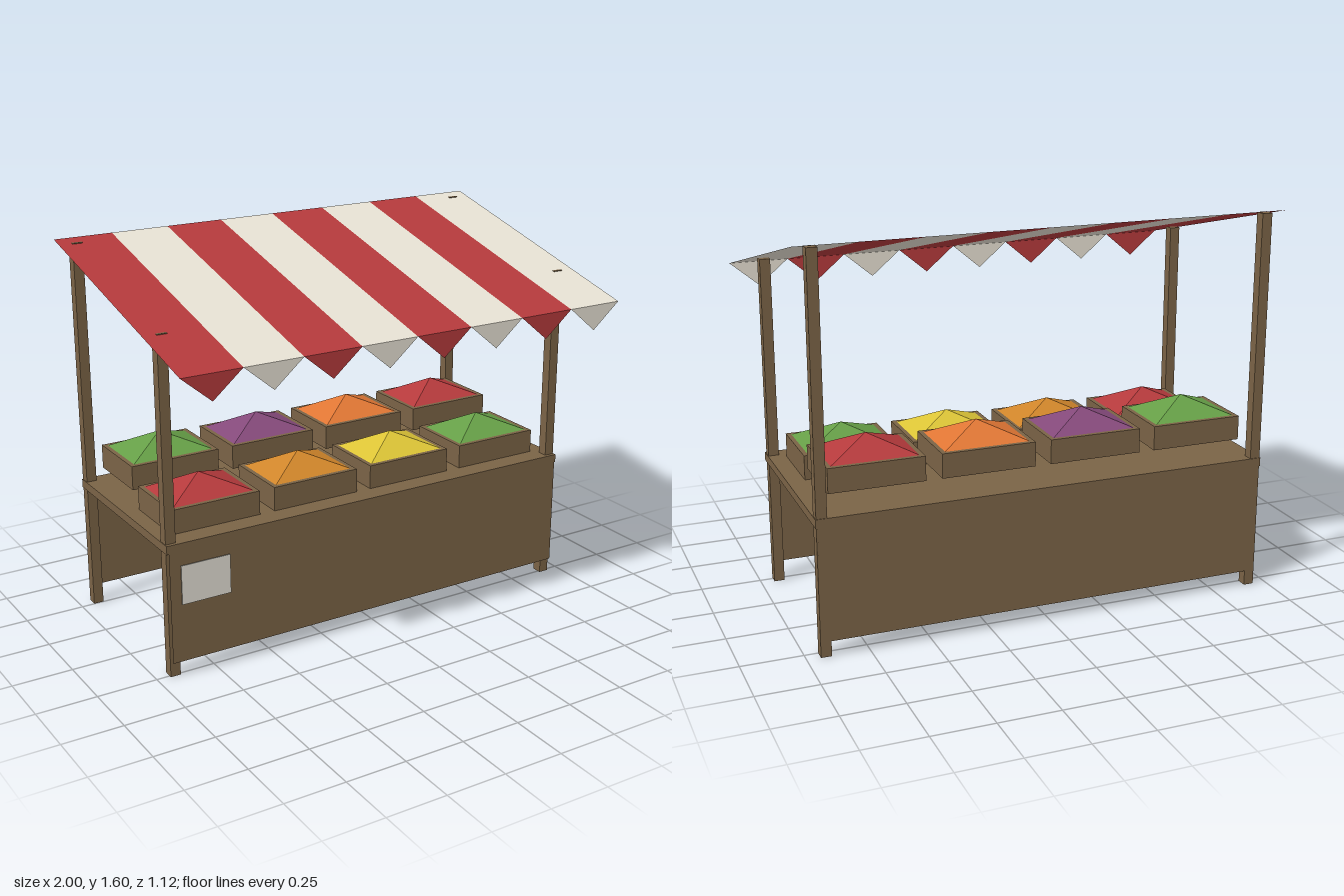
import * as THREE from 'three';
import { RoundedBoxGeometry } from 'three/addons/geometries/RoundedBoxGeometry.js';

const mat = (name, color, side = THREE.FrontSide) => {
  const m = new THREE.MeshStandardMaterial({ color, side });
  m.name = name;
  return m;
};

export function createModel() {
  const model = new THREE.Group();
  model.name = 'marketStall';

  const wood = mat('wood', 0x7a6346, THREE.DoubleSide);
  const red = mat('red', 0xb53a3c, THREE.DoubleSide);
  const cream = mat('cream', 0xeee8da, THREE.DoubleSide);
  const green = mat('green', 0x669f47);
  const purple = mat('purple', 0x84497a);
  const orange = mat('orange', 0xe07634);
  const amber = mat('amber', 0xd0852a);
  const yellow = mat('yellow', 0xdcc436);
  const steel = mat('steel', 0x82868a);
  const slate = mat('paleBoard', 0xe4e0d6);

  const add = (name, geometry, material, x, y, z, parent = model) => {
    const mesh = new THREE.Mesh(geometry, material);
    mesh.name = name;
    mesh.position.set(x, y, z);
    parent.add(mesh);
    return mesh;
  };
  const box = (w, h, d) => new THREE.BoxGeometry(w, h, d);

  // Four posts, taller at the back
  for (const side of [-1, 1]) {
    add('frontPost', box(0.043, 1.398, 0.043), wood, side * 0.923, 0.699, 0.24);
    add('backPost', box(0.043, 1.589, 0.043), wood, side * 0.923, 0.7945, -0.523);
  }

  // Counter top with thin boards at the front and back
  add('counterTop', box(1.895, 0.036, 0.824), wood, 0, 0.548, -0.135);
  add('frontPanel', new THREE.PlaneGeometry(1.88, 0.5), wood, 0, 0.315, 0.279);
  add('backPanel', new THREE.PlaneGeometry(1.88, 0.5), wood, 0, 0.315, -0.549).rotation.y = Math.PI;

  // Price board on the front
  add('priceBoard', box(0.212, 0.164, 0.004), slate, -0.791, 0.397, 0.291);

  // Sloping striped canopy with a pointed valance
  const canopy = new THREE.Group();
  canopy.name = 'canopy';
  model.add(canopy);
  const rise = 0.28, depth = 1.12, stripe = 0.25;
  const strip = new THREE.PlaneGeometry(stripe, Math.hypot(rise, depth));
  strip.rotateX(-Math.PI / 2 + Math.atan2(rise, depth));
  const point = new THREE.ShapeGeometry(new THREE.Shape([
    new THREE.Vector2(-stripe / 2, 0),
    new THREE.Vector2(0, -0.105),
    new THREE.Vector2(stripe / 2, 0),
  ]));
  for (let i = 0; i < 8; i++) {
    const x = -1 + stripe * (i + 0.5);
    const cloth = i % 2 ? cream : red;
    add('canopyStripe', strip, cloth, x, 1.46, 0, canopy);
    add('valancePoint', point, cloth, x, 1.32, depth / 2, canopy);
  }

  // Two rows of produce crates, each heaped to a low pyramid
  const crateBox = box(0.39, 0.101, 0.302);
  let heap = new THREE.ConeGeometry(Math.SQRT1_2, 1, 4, 1).rotateY(Math.PI / 4);
  heap = heap.scale(0.357, 0.075, 0.266).toNonIndexed();
  heap.computeVertexNormals();
  const rows = [
    { y: 0.566, z: 0.036, produce: [red, amber, yellow, green] },
    { y: 0.631, z: -0.318, produce: [green, purple, orange, red] },
  ];
  for (const row of rows) {
    row.produce.forEach((colour, i) => {
      const crate = new THREE.Group();
      crate.name = 'produceCrate';
      crate.position.set(-0.687 + 0.456 * i, row.y, row.z);
      model.add(crate);
      add('crate', crateBox, wood, 0, 0.0505, 0, crate);
      add('produceHeap', heap, colour, 0, 0.1375, 0, crate);
    });
  }

  // Small metal cash box tucked under the back crate
  add('cashBox', new RoundedBoxGeometry(0.18, 0.053, 0.122, 3, 0.009), steel, 0.69, 0.603, -0.229);

  return model;
}
